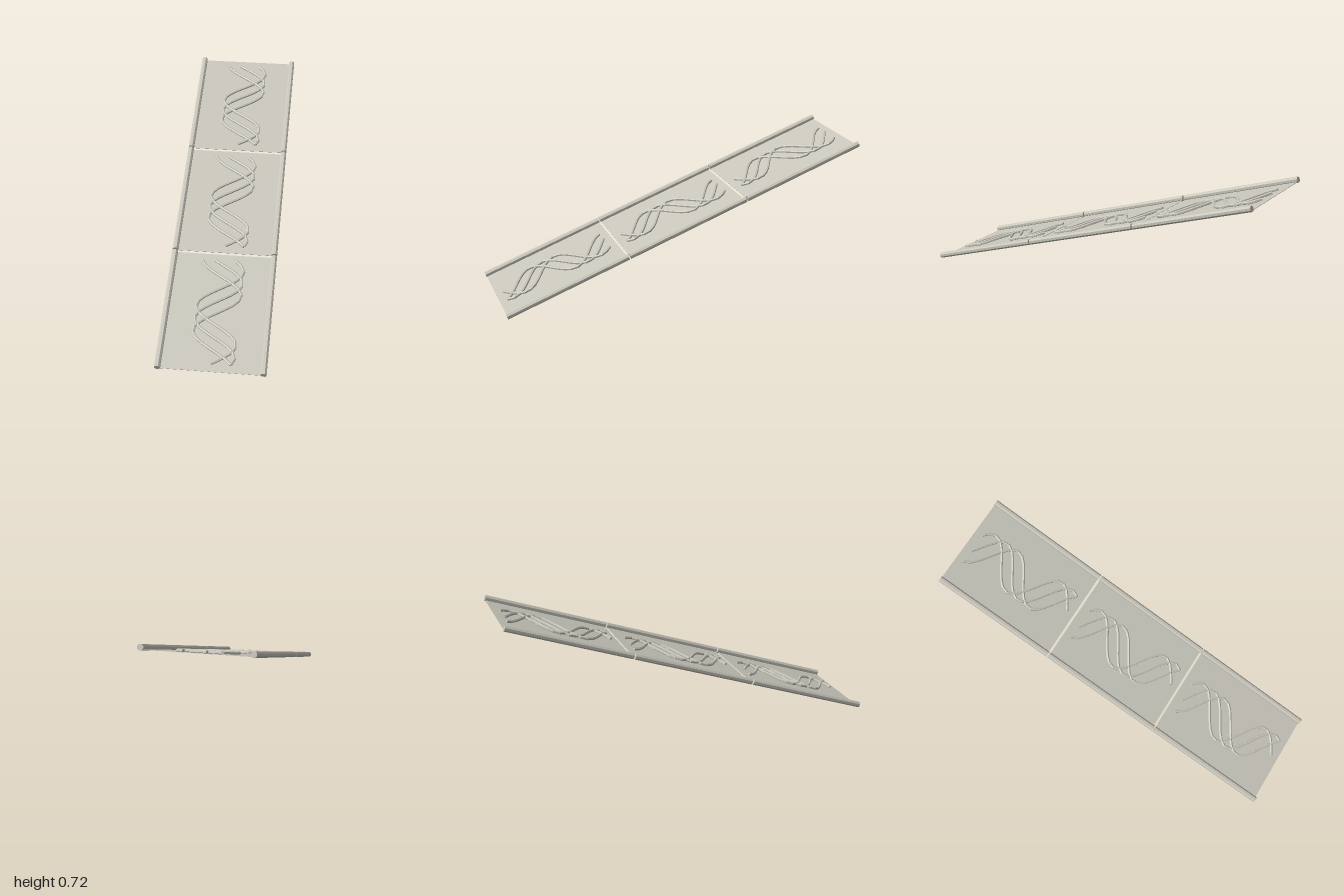
import * as THREE from 'three';

const SLOPE = 0.333;      // ramp tilt in radians
const PITCH = 0.705;      // spacing of the three sections along the slope
const STRAND_R = 0.008;

// Wavy strand lying on the panel; strands differ only in phase
class StrandCurve extends THREE.Curve {
  constructor(phase) {
    super();
    this.phase = phase;
  }
  getPoint(t, target = new THREE.Vector3()) {
    const x = 0.113 * Math.sin(this.phase + t * 8.75);
    return target.set(x, -0.003, 0.303 - 0.606 * t);
  }
}

export function createModel() {
  const stone = new THREE.MeshStandardMaterial({ color: 0xc8c6bb, flatShading: true });
  stone.name = 'warm grey';

  const railGeo = new THREE.CylinderGeometry(0.0163, 0.0163, 0.697, 8);
  railGeo.rotateY(Math.PI / 8).rotateX(Math.PI / 2);
  const panelGeo = new THREE.BoxGeometry(0.528, 0.002, 0.692);
  const capGeo = new THREE.CircleGeometry(STRAND_R, 6);

  const add = (parent, geo, name) => {
    const mesh = new THREE.Mesh(geo, stone);
    mesh.name = name;
    parent.add(mesh);
    return mesh;
  };

  const ramp = new THREE.Group();
  ramp.name = 'ramp';
  ramp.rotation.x = SLOPE;
  ramp.position.y = 0.3585;

  for (let i = -1; i <= 1; i++) {
    const section = new THREE.Group();
    section.name = 'rampSection';
    section.position.z = i * PITCH;
    ramp.add(section);

    // Thin floor panel and its two side rails
    add(section, panelGeo, 'panel').position.y = -0.010;
    for (const side of [-1, 1]) {
      add(section, railGeo, side > 0 ? 'leftRail' : 'rightRail').position.x = side * 0.264;
    }

    // Three interwoven strands with flat end caps
    for (let k = 0; k < 3; k++) {
      const curve = new StrandCurve(k * Math.PI / 3);
      const strand = new THREE.Group();
      strand.name = 'strand';
      section.add(strand);
      add(strand, new THREE.TubeGeometry(curve, 24, STRAND_R, 6), 'strandTube');
      for (const t of [0, 1]) {
        const cap = add(strand, capGeo, 'strandCap');
        const p = curve.getPoint(t);
        const outward = curve.getTangent(t).multiplyScalar(t ? 1 : -1);
        cap.position.copy(p);
        cap.quaternion.setFromUnitVectors(new THREE.Vector3(0, 0, 1), outward);
      }
    }
  }

  const model = new THREE.Group();
  model.name = 'strandRamp';
  model.add(ramp);
  return model;
}
